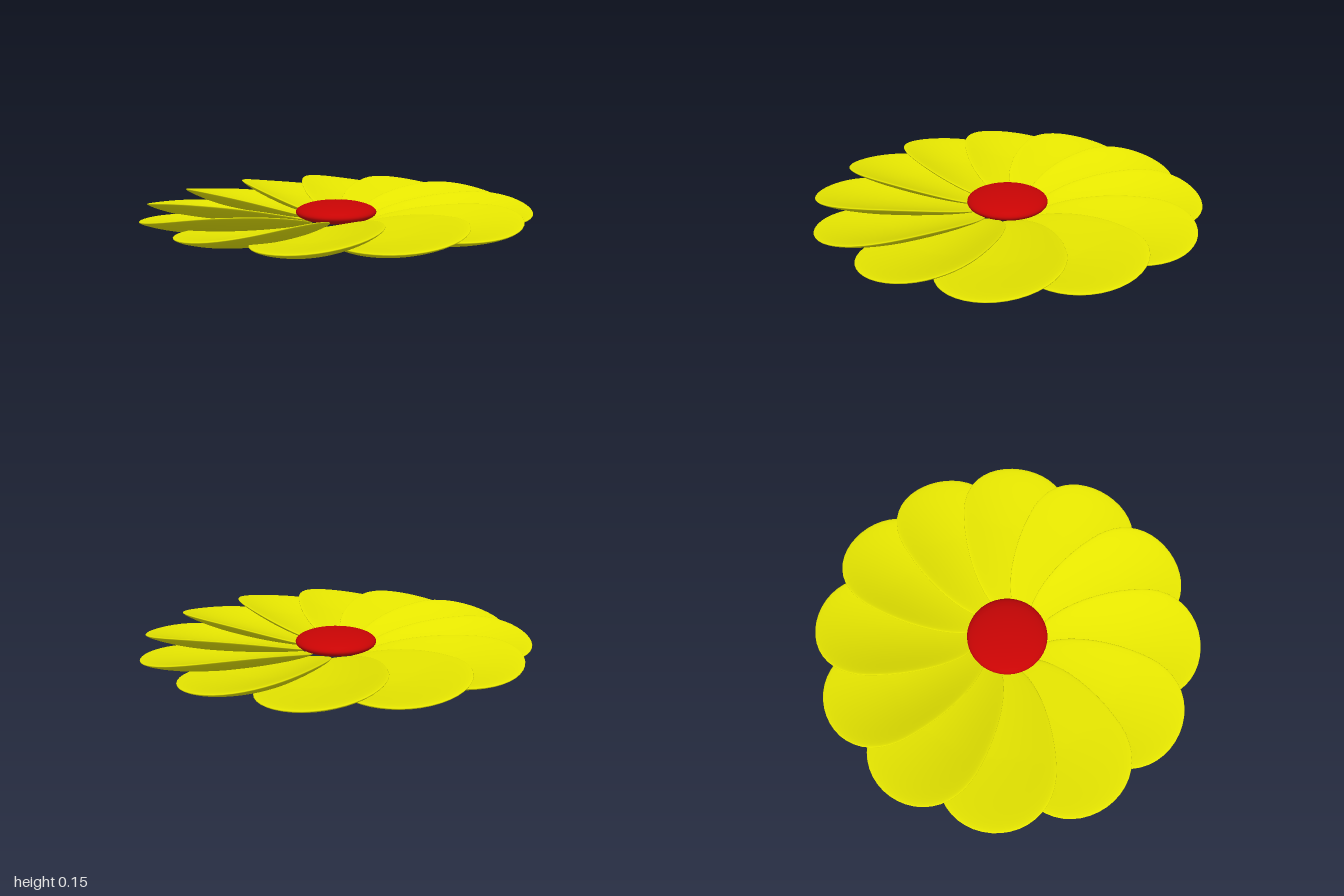
import * as THREE from 'three';
import { mergeVertices } from 'three/addons/utils/BufferGeometryUtils.js';

// Reshape a unit sphere with a rule, keeping smooth seamless normals
function reshapedSphere(w, h, rule) {
  let geo = new THREE.SphereGeometry(1, w, h);
  geo.deleteAttribute('uv');
  geo.deleteAttribute('normal');
  geo = mergeVertices(geo, 1e-4);
  const pos = geo.attributes.position;
  for (let i = 0; i < pos.count; i++) {
    pos.setXYZ(i, ...rule(pos.getX(i), pos.getY(i), pos.getZ(i)));
  }
  geo.computeVertexNormals();
  return geo;
}

export function createModel() {
  const group = new THREE.Group();
  group.name = 'flower';

  const yellow = new THREE.MeshStandardMaterial({ color: 0xe6e600 });
  yellow.name = 'petalYellow';
  const red = new THREE.MeshStandardMaterial({ color: 0xc80404 });
  red.name = 'centreRed';

  // Thin egg-shaped bowl: rises outwards, one long edge raised over its neighbour
  const petalGeo = reshapedSphere(48, 32, (a, b, c) => [
    0.283 * a * (1 + 0.2 * c),
    0.043 + 0.025 * b + 0.065 * a * a + 0.042 * a + 0.026 * c * c + 0.036 * c,
    0.64 + c * (c > 0 ? 0.36 : 0.5),
  ]);
  petalGeo.computeBoundingBox();
  petalGeo.translate(0, -petalGeo.boundingBox.min.y, 0);

  // Ring of twelve petals
  const petals = new THREE.Group();
  petals.name = 'petals';
  for (let i = 0; i < 12; i++) {
    const petal = new THREE.Mesh(petalGeo, yellow);
    petal.name = 'petal' + (i + 1);
    petal.rotation.y = (i * Math.PI) / 6;
    petals.add(petal);
  }
  group.add(petals);

  // Flattened button in the middle
  const centreGeo = reshapedSphere(48, 24, (a, b, c) => [0.21 * a, 0.078 + 0.053 * b, 0.21 * c]);
  const centre = new THREE.Mesh(centreGeo, red);
  centre.name = 'flowerCentre';
  group.add(centre);

  return group;
}
